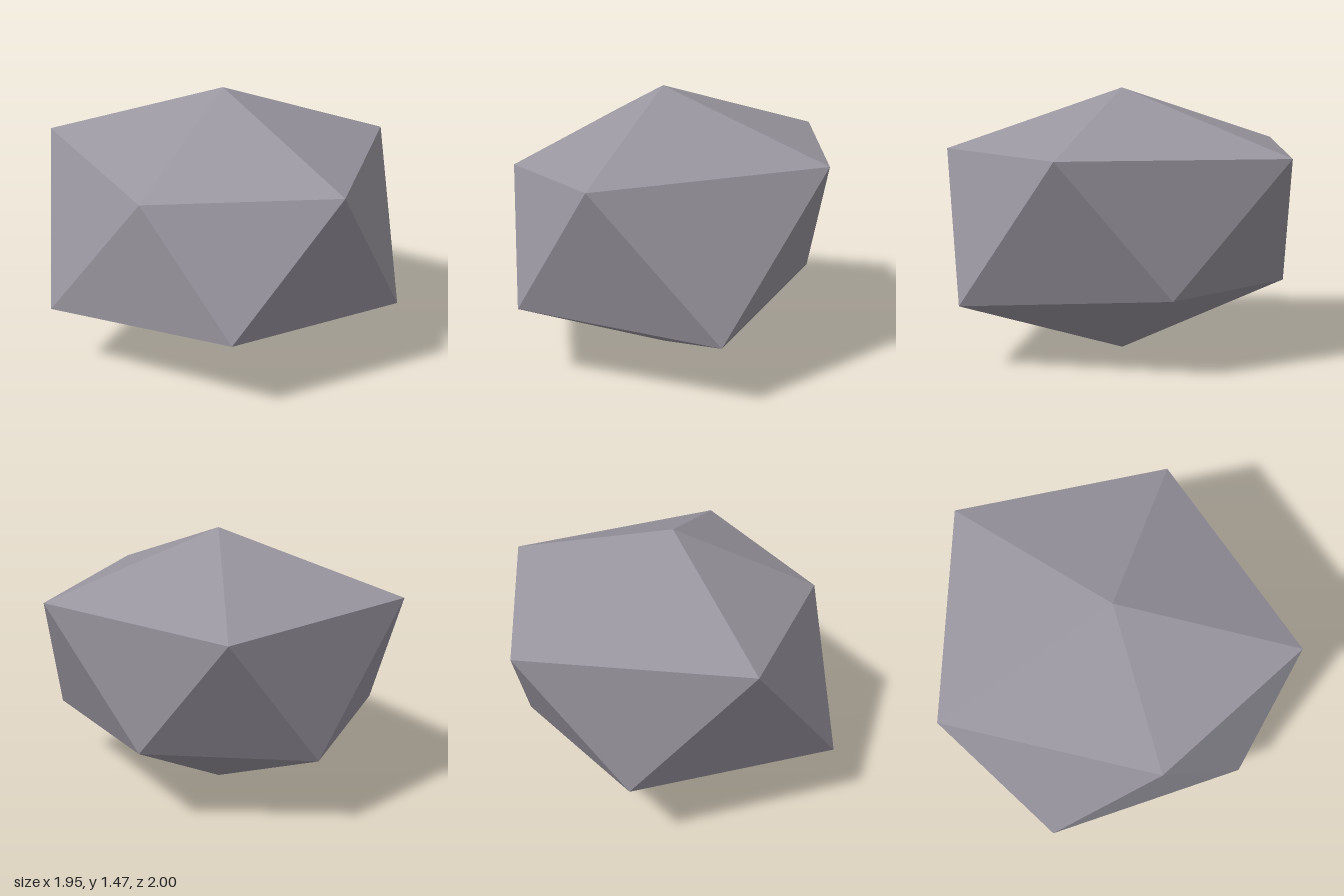
import * as THREE from 'three';

export function createModel() {
  const group = new THREE.Group();
  group.name = 'rock';
  const stone = new THREE.MeshStandardMaterial({ color: 0x99959f, flatShading: true });
  stone.name = 'stone grey';

  // Two staggered rings of five corners between a top and a bottom point
  const top = [0, 1.47, 0.07];
  const bottom = [0, 0, 0.07];
  const upper = [
    [0.97, 1.15, -0.09], [0.36, 1.125, 1], [-0.56, 1.05, 0.65],
    [-0.87, 1.16, -0.47], [0.21, 1.14, -1],
  ];
  const lower = [
    [0.84, 0.355, 0.58], [-0.18, 0.41, 0.98], [-0.975, 0.355, 0.215],
    [-0.32, 0.415, -0.77], [0.56, 0.44, -0.52],
  ];

  // Cap, zigzag belt and base facets
  const points = [];
  for (let i = 0; i < 5; i++) {
    const j = (i + 1) % 5;
    points.push(
      top, upper[j], upper[i],
      upper[i], upper[j], lower[i],
      lower[i], upper[j], lower[j],
      lower[i], lower[j], bottom,
    );
  }
  const geometry = new THREE.BufferGeometry();
  geometry.setAttribute('position', new THREE.Float32BufferAttribute(points.flat(), 3));
  geometry.computeVertexNormals();

  const boulder = new THREE.Mesh(geometry, stone);
  boulder.name = 'boulder';
  group.add(boulder);
  return group;
}
